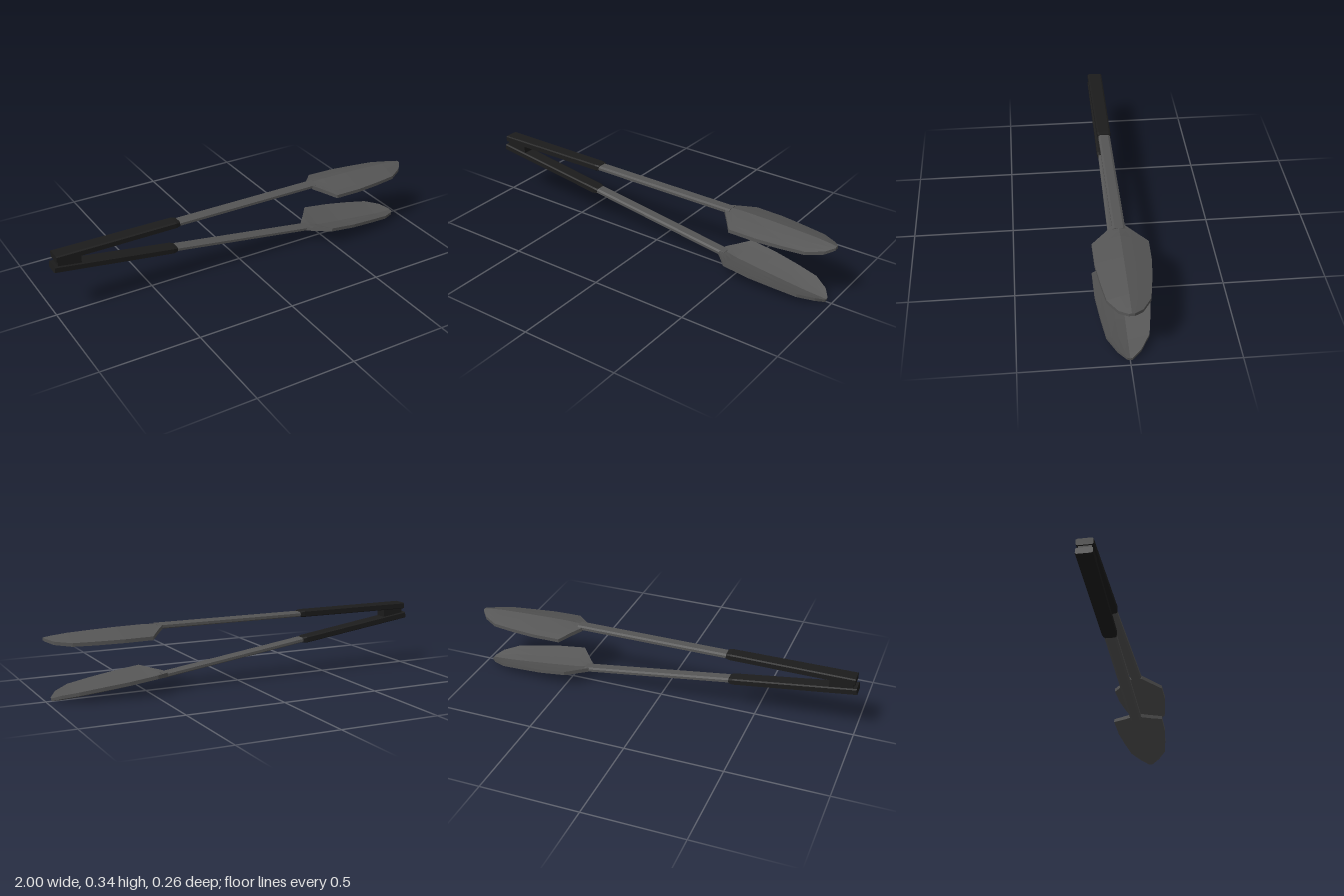
import * as THREE from 'three';

const gripMat = new THREE.MeshStandardMaterial({ color: 0x1c1c1c, flatShading: true });
const metalMat = new THREE.MeshStandardMaterial({ color: 0x555555, flatShading: true });

// Skin a list of equal-length rings (arrays of Vector3, running from +y towards +z) and cap both ends.
function loft(rings) {
  const pos = [];
  const tri = (...pts) => pts.forEach((p) => pos.push(p.x, p.y, p.z));
  const n = rings[0].length;
  for (let i = 0; i < rings.length - 1; i++) {
    for (let j = 0; j < n; j++) {
      const k = (j + 1) % n;
      tri(rings[i][j], rings[i][k], rings[i + 1][k]);
      tri(rings[i][j], rings[i + 1][k], rings[i + 1][j]);
    }
  }
  const first = rings[0], last = rings[rings.length - 1];
  for (let j = 1; j < n - 1; j++) {
    tri(first[0], first[j + 1], first[j]);
    tri(last[0], last[j], last[j + 1]);
  }
  const geo = new THREE.BufferGeometry();
  geo.setAttribute('position', new THREE.Float32BufferAttribute(pos, 3));
  geo.computeVertexNormals();
  return geo;
}

// Bar section with chamfered corners: half width w, from y0 up to y1.
function barRing(x, w, y0, y1, c) {
  return [
    [y1, -w + c], [y1, w - c], [y1 - c * 0.6, w], [y0 + c * 0.6, w],
    [y0, w - c], [y0, -w + c], [y0 + c * 0.6, -w], [y1 - c * 0.6, -w],
  ].map(([y, z]) => new THREE.Vector3(x, y, z));
}

// Roof-shaped head section: ridge in the middle, edges drooping inwards.
function headRing(x, w, ridge, edge, thick) {
  const ts = [-1, -0.75, -0.4, 0, 0.4, 0.75, 1];
  const at = (t, drop) => new THREE.Vector3(
    x, ridge + (edge - ridge) * Math.pow(Math.abs(t), 1.1) - drop, t * w);
  return [...ts.map((t) => at(t, 0)), ...ts.slice().reverse().map((t) => at(t, thick))];
}

function named(name, geo, mat) {
  const mesh = new THREE.Mesh(geo, mat);
  mesh.name = name;
  return mesh;
}

// One arm along +x from its back end, with its outer face at y = 0.
function makeArm(name) {
  const arm = new THREE.Group();
  arm.name = name;

  arm.add(named('handleGrip', loft([
    barRing(0, 0.039, -0.033, 0, 0.007),
    barRing(0.615, 0.035, -0.033, 0, 0.008),
    barRing(0.637, 0.031, -0.031, -0.003, 0.009),
  ]), gripMat));

  arm.add(named('shaft', loft([
    barRing(0.6, 0.03, -0.031, -0.006, 0.01),
    barRing(1.43, 0.03, -0.031, -0.006, 0.01),
  ]), metalMat));

  // x, half width, ridge height, edge height, thickness
  const head = [
    [1.405, 0.03, -0.007, -0.011, 0.02],
    [1.445, 0.075, -0.006, -0.024, 0.02],
    [1.492, 0.132, -0.004, -0.042, 0.018],
    [1.635, 0.13, -0.006, -0.044, 0.018],
    [1.76, 0.115, -0.01, -0.046, 0.018],
    [1.875, 0.097, -0.015, -0.047, 0.017],
    [1.95, 0.053, -0.022, -0.041, 0.016],
    [1.985, 0.012, -0.027, -0.03, 0.014],
  ];
  arm.add(named('head', loft(head.map((s) => headRing(...s))), metalMat));
  return arm;
}

export function createModel() {
  const model = new THREE.Group();
  model.name = 'tongs';

  const upper = makeArm('upperArm');
  upper.position.set(-0.985, 0.337, 0);

  // The lower arm is the same arm turned over and opened by the jaw angle.
  const lower = makeArm('lowerArm');
  lower.rotation.set(Math.PI, 0, THREE.MathUtils.degToRad(8.05));
  lower.position.set(-0.999, 0.253, 0);

  // Block joining the two arms at the back
  const hinge = named('hingeBlock', new THREE.BoxGeometry(0.115, 0.056, 0.062), gripMat);
  hinge.position.set(-0.92, 0.286, 0);

  model.add(upper, lower, hinge);
  return model;
}
